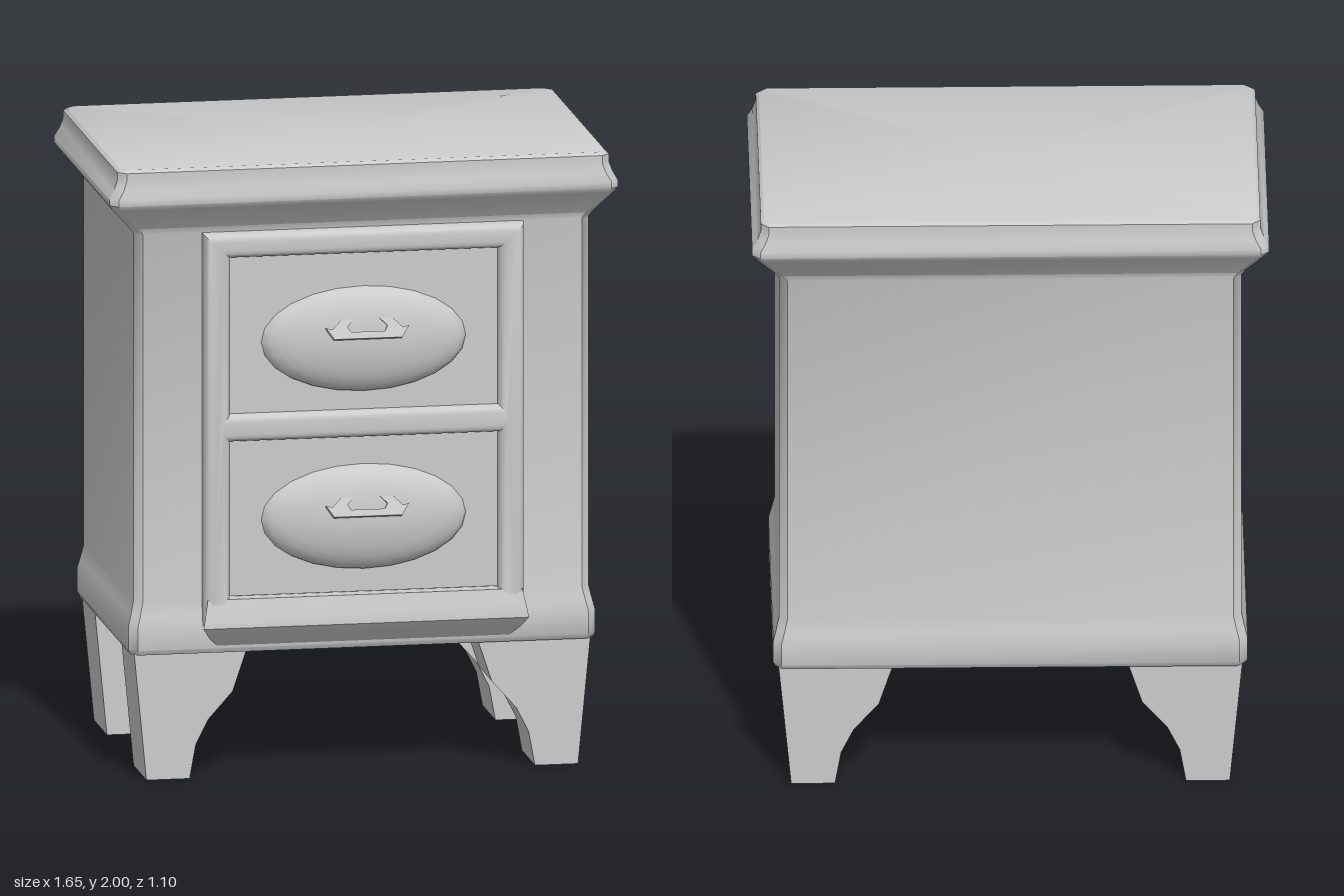
import * as THREE from 'three';
import { toCreasedNormals } from 'three/addons/utils/BufferGeometryUtils.js';

const material = new THREE.MeshStandardMaterial({ color: 0xcccccc });

function addMesh(parent, name, geometry, crease = 0.7) {
  const mesh = new THREE.Mesh(toCreasedNormals(geometry, crease), material);
  mesh.name = name;
  parent.add(mesh);
  return mesh;
}

const outline = (points) => new THREE.Shape(points.map(([x, y]) => new THREE.Vector2(x, y)));

// Closed stack of chamfered rectangles; each level is [y, halfWidth, halfDepth]
function loftCabinet(levels, c) {
  const positions = [];
  const loops = levels.map(([y, w, d]) => [
    [w, d - c], [w, c - d], [w - c, -d], [c - w, -d],
    [-w, c - d], [-w, d - c], [c - w, d], [w - c, d],
  ].map(([x, z]) => [x, y, z]));
  const triangle = (a, b, e) => positions.push(...a, ...b, ...e);
  const first = loops[0], last = loops[loops.length - 1];
  for (let j = 0; j < 8; j++) {
    const k = (j + 1) % 8;
    for (let i = 0; i + 1 < loops.length; i++) {
      triangle(loops[i][j], loops[i][k], loops[i + 1][k]);
      triangle(loops[i][j], loops[i + 1][k], loops[i + 1][j]);
    }
    triangle([0, levels[0][0], 0], first[k], first[j]);
    triangle([0, last[0][1], 0], last[j], last[k]);
  }
  const geometry = new THREE.BufferGeometry();
  geometry.setAttribute('position', new THREE.Float32BufferAttribute(positions, 3));
  geometry.computeVertexNormals();
  return geometry;
}

function rectangle(path, x0, y0, x1, y1) {
  path.moveTo(x0, y0);
  path.lineTo(x1, y0);
  path.lineTo(x1, y1);
  path.lineTo(x0, y1);
  path.closePath();
  return path;
}

export function createModel() {
  const group = new THREE.Group();
  group.name = 'nightstand';

  // Cabinet with flared foot and moulded top
  const cabinet = addMesh(group, 'cabinet', loftCabinet([
    [0.41, 0.75, 0.475], [0.425, 0.757, 0.482], [0.5, 0.757, 0.482], [0.535, 0.748, 0.475],
    [0.58, 0.738, 0.465], [1.78, 0.738, 0.465], [1.8, 0.752, 0.472], [1.87, 0.815, 0.511],
    [1.885, 0.825, 0.52], [1.905, 0.825, 0.52], [1.935, 0.808, 0.512],
    [1.965, 0.797, 0.506], [1.99, 0.797, 0.506], [2.0, 0.787, 0.497],
  ], 0.026));
  cabinet.position.z = -0.03;

  // Four bracket legs, cut in profile
  const legProfile = [[0.7, 0], [0.74, 0.415], [0.375, 0.415], [0.42, 0.28],
    [0.5, 0.19], [0.54, 0.11], [0.56, 0]];
  for (const side of [1, -1]) {
    for (const [end, z] of [['front', 0.205], ['back', -0.495]]) {
      const shape = outline(legProfile.map(([x, y]) => [side * x, y]));
      const geometry = new THREE.ExtrudeGeometry(shape, { depth: 0.23, bevelEnabled: false });
      geometry.translate(0, 0, z);
      addMesh(group, `${end}${side > 0 ? 'Left' : 'Right'}Leg`, geometry, 0.3);
    }
  }

  // Drawer frame with two bevelled openings
  const frame = rectangle(new THREE.Shape(), -0.52, 0.5, 0.52, 1.78);
  for (const [bottom, top] of [[0.58, 1.1], [1.19, 1.7]]) {
    frame.holes.push(rectangle(new THREE.Path(), -0.435, bottom, 0.435, top));
  }
  const frameGeometry = new THREE.ExtrudeGeometry(frame, {
    depth: 0.03, bevelThickness: 0.035, bevelSize: 0.025, bevelOffset: -0.025, bevelSegments: 3,
  });
  frameGeometry.translate(0, 0, 0.425);
  addMesh(group, 'drawerFrame', frameGeometry);

  // Skirt moulding below the drawers, narrowing at its lower edge
  const skirtProfile = [[0.4, 0.415], [0.435, 0.415], [0.48, 0.465], [0.508, 0.5],
    [0.506, 0.52], [0.494, 0.56], [0.485, 0.59], [0.4, 0.59]];
  const skirt = new THREE.ExtrudeGeometry(outline(skirtProfile), { depth: 1, bevelEnabled: false });
  skirt.rotateY(-Math.PI / 2);
  skirt.translate(0.5, 0, 0);
  const p = skirt.attributes.position;
  for (let i = 0; i < p.count; i++) {
    const y = p.getY(i);
    p.setX(i, p.getX(i) * (y < 0.49 ? 1.06 - (0.49 - y) * 2 : 1.06 - (y - 0.49) * 0.4));
  }
  skirt.computeVertexNormals();
  addMesh(group, 'skirt', skirt);

  // Drawers: recessed face, domed oval and tilted pull
  const half = [[0, -0.02], [0.11, -0.02], [0.135, 0.018], [0.115, 0.012], [0.085, 0.042],
    [0.04, 0.045], [0.065, 0.02], [0.055, 0.002], [0, 0.002]];
  const pullPoints = [...half.slice(1, -1),
    ...half.slice(1, -1).reverse().map(([x, y]) => [-x, y])];
  [['upper', 1.42, 1.445], ['lower', 0.84, 0.865]].forEach(([level, y, faceY]) => {
    const drawer = new THREE.Group();
    drawer.name = `${level}Drawer`;
    group.add(drawer);

    const face = new THREE.BoxGeometry(0.9, 0.54, 0.04);
    face.translate(0, faceY, 0.436);
    addMesh(drawer, 'drawerFace', face);

    const dome = new THREE.SphereGeometry(1, 24, 8, 0, Math.PI * 2, 0, Math.PI / 2);
    dome.rotateX(Math.PI / 2);
    dome.scale(0.333, 0.172, 0.075);
    dome.translate(0, y, 0.453);
    addMesh(drawer, 'ovalPanel', dome, 1.2);

    const pull = new THREE.ExtrudeGeometry(outline(pullPoints), { depth: 0.018, bevelEnabled: false });
    pull.rotateX(-0.4);
    pull.translate(0, y + 0.03, 0.522);
    addMesh(drawer, 'pull', pull, 0.3);
  });

  return group;
}
